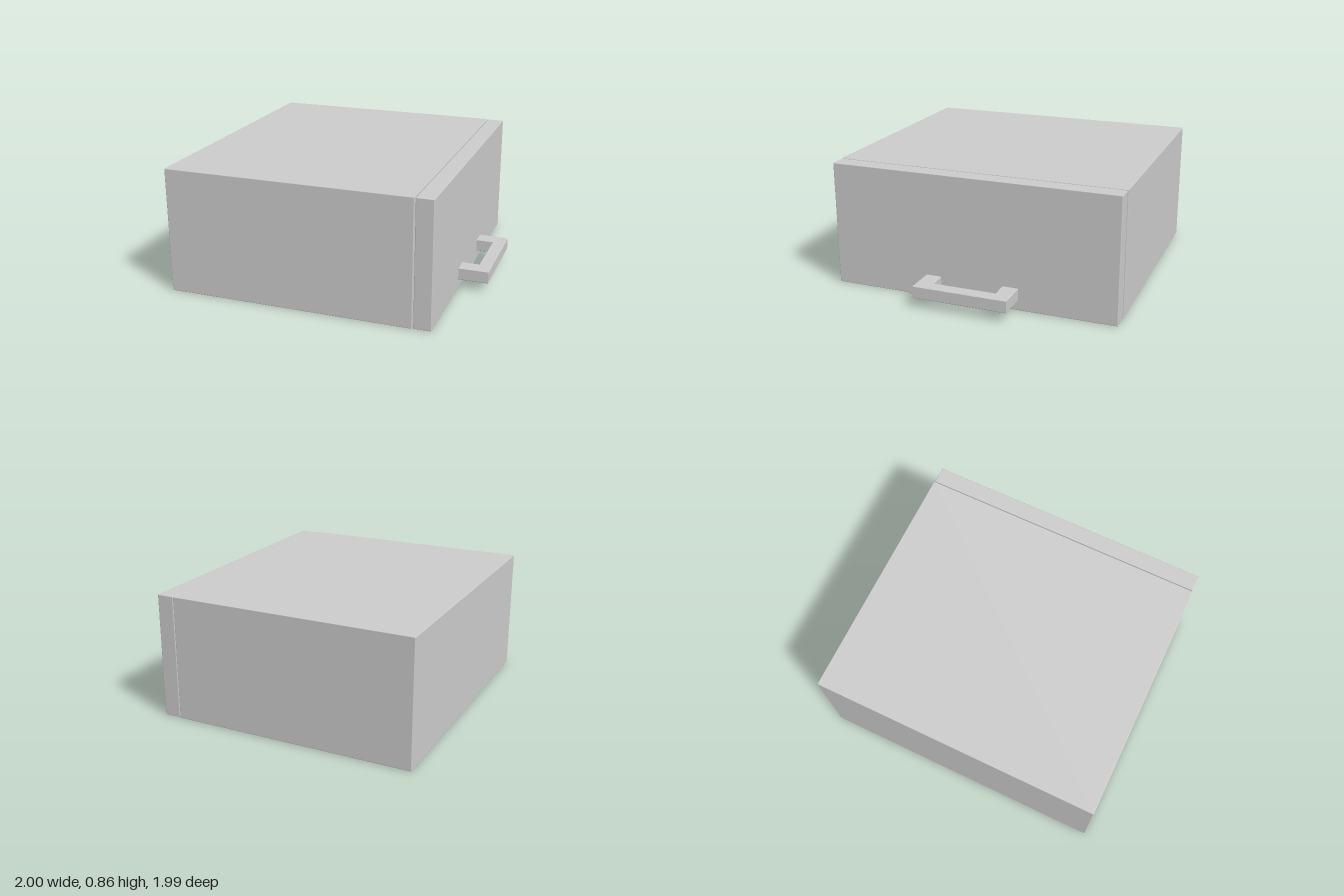
import * as THREE from 'three';
import { RoundedBoxGeometry } from 'three/addons/geometries/RoundedBoxGeometry.js';

const material = new THREE.MeshStandardMaterial({ color: 0xcccccc });

// Softly edged box given by its x range, height and depth, standing on y = 0
function panel(name, x0, x1, height, depth) {
  const mesh = new THREE.Mesh(new RoundedBoxGeometry(x1 - x0, height, depth, 2, 0.005), material);
  mesh.name = name;
  mesh.position.set((x0 + x1) / 2, height / 2, 0);
  return mesh;
}

// U-shaped pull handle, drawn flat (x, -z) and extruded upwards
function handle() {
  const face = 0.793, outer = 1, inner = 0.912, half = 0.325, gap = 0.216, bevel = 0.004;
  const o = outer - bevel, i = inner + bevel, h = half - bevel, g = gap + bevel;
  const shape = new THREE.Shape([
    [face, -h], [o, -h], [o, h], [face, h],
    [face, g], [i, g], [i, -g], [face, -g],
  ].map(([x, y]) => new THREE.Vector2(x, y)));
  const geometry = new THREE.ExtrudeGeometry(shape, {
    depth: 0.085 - 2 * bevel, bevelThickness: bevel, bevelSize: bevel, bevelSegments: 1,
  });
  geometry.rotateX(-Math.PI / 2);
  const mesh = new THREE.Mesh(geometry, material);
  mesh.name = 'handle';
  mesh.position.y = 0.067 + bevel;
  return mesh;
}

export function createModel() {
  const model = new THREE.Group();
  model.name = 'cabinet';
  model.add(
    panel('cabinetBody', -1, 0.674, 0.855, 1.985),
    panel('door', 0.68, 0.796, 0.853, 1.975),
    handle(),
  );
  return model;
}
